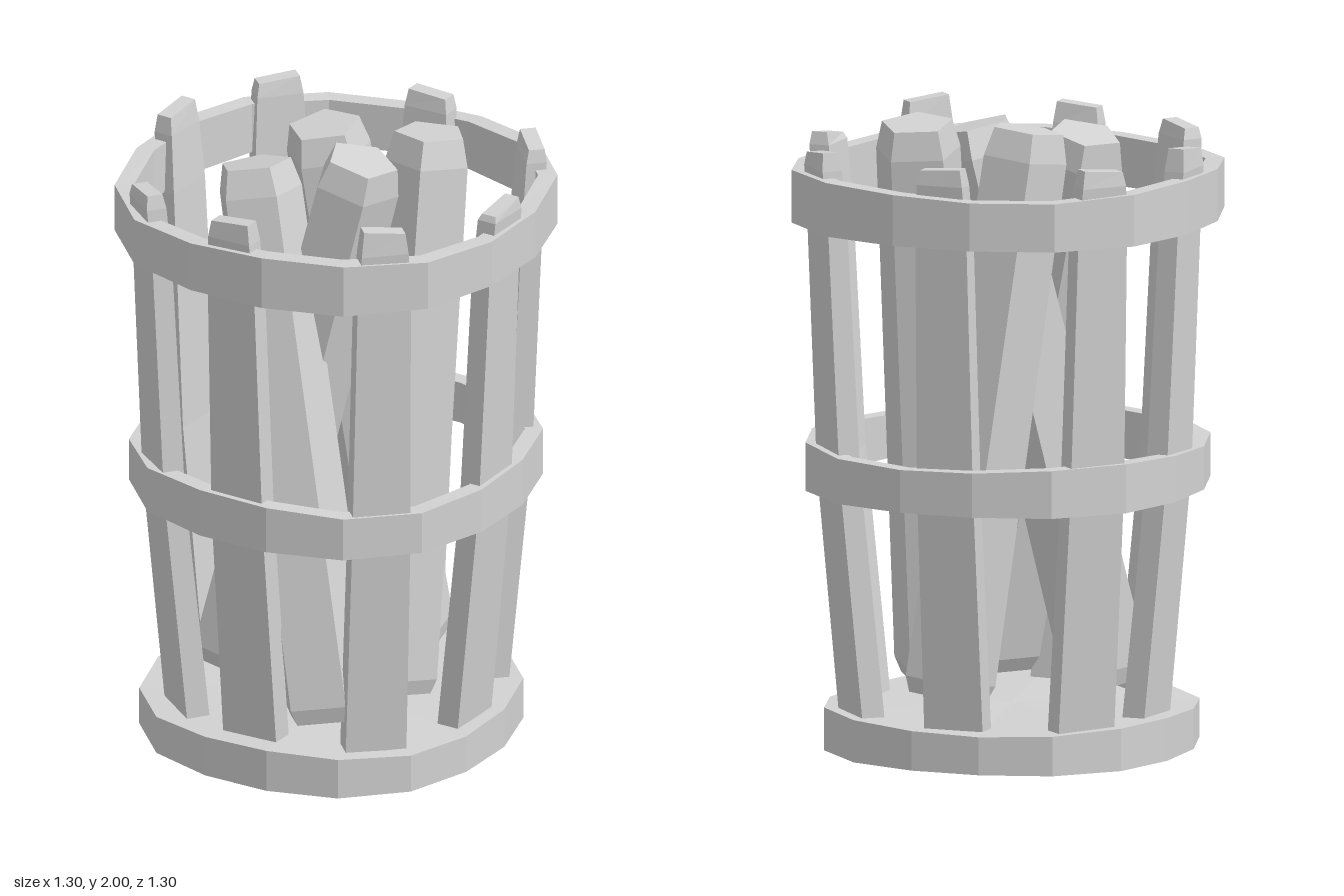
import * as THREE from 'three';

const wood = new THREE.MeshStandardMaterial({ color: 0xd2d2d2, flatShading: true });
wood.name = 'grey wood';
const SIDES = 16;

function add(group, geometry, name) {
  const mesh = new THREE.Mesh(geometry, wood);
  mesh.name = name;
  group.add(mesh);
  return mesh;
}

// Faceted band or disc, slightly squared in plan; the upper edge wavers for a hand-cut look
function turned(profile, wobble, phase) {
  const pts = profile.map(([r, y]) => new THREE.Vector2(r, y));
  const g = new THREE.LatheGeometry(pts, SIDES, Math.PI / SIDES);
  const p = g.attributes.position;
  const heights = profile.map(q => q[1]);
  const middle = (Math.min(...heights) + Math.max(...heights)) / 2;
  for (let i = 0; i < p.count; i++) {
    const x = p.getX(i), z = p.getZ(i);
    const a = Math.atan2(x, z);
    const swell = 1.02 - 0.028 * Math.cos(4 * a);
    const lift = p.getY(i) > middle && Math.hypot(x, z) > 0.01 ? wobble * Math.sin(3 * a + phase) : 0;
    p.setXYZ(i, x * swell, p.getY(i) + lift, z * swell);
  }
  g.computeVertexNormals();
  return g;
}

const hoop = (outer, inner, y0, y1, phase) => turned(
  [[inner, y0], [outer, y0], [outer, y1], [inner, y1], [inner, y0]], 0.01, phase);

// Stave rows: height, outer radius, inner radius, half width
const ROWS = [
  [0.13, 0.505, 0.43, 0.097],
  [0.9, 0.58, 0.51, 0.093],
  [1.68, 0.615, 0.55, 0.085],
  [1.87, 0.63, 0.565, 0.075],
  [1.93, 0.625, 0.575, 0.066],
];

// Tapered plank facing +z, leaning outward towards the top
function stave(lift, skew, shift) {
  const n = ROWS.length - 1;
  const g = new THREE.BoxGeometry(1, 1, 1, 1, n, 1);
  const p = g.attributes.position;
  for (let i = 0; i < p.count; i++) {
    const k = Math.round((p.getY(i) + 0.5) * n);
    const [y, outer, inner, half] = ROWS[k];
    const side = Math.sign(p.getX(i));
    const top = k === n ? lift + side * skew : 0;
    p.setXYZ(i, side * half, y + top, (p.getZ(i) > 0 ? outer : inner) + shift);
  }
  g.computeVertexNormals();
  return g;
}

// Five-sided log with chipped ends running between two points
function log(from, to, turn) {
  const a = new THREE.Vector3(...from);
  const axis = new THREE.Vector3(...to).sub(a);
  const h = axis.length();
  const profile = [[0, 0], [0.13, 0], [0.15, 0.05], [0.138, h - 0.09], [0.115, h], [0, h]];
  const g = new THREE.LatheGeometry(profile.map(q => new THREE.Vector2(...q)), 5, turn);
  g.applyQuaternion(new THREE.Quaternion().setFromUnitVectors(
    new THREE.Vector3(0, 1, 0), axis.normalize()));
  g.translate(a.x, a.y, a.z);
  return g;
}

export function createModel() {
  const model = new THREE.Group();
  model.name = 'log basket';

  // Floor disc and two hoops
  const base = add(model, turned([[0, 0.005], [0.575, 0.005], [0.575, 0.133], [0, 0.133]], 0.008, 1), 'base');
  base.position.set(-0.005, 0, 0.02);
  add(model, hoop(0.62, 0.565, 0.83, 0.975, 2), 'middleHoop');
  add(model, hoop(0.663, 0.605, 1.68, 1.84, 0.5), 'topHoop');

  // Eight upright staves: angle from the front, extra height, slant of the top, radial shift
  const staves = [
    [0, 0, 0.006, 0.005], [45, 0.015, -0.008, 0.04], [89, -0.03, 0.01, 0.008], [134, -0.01, 0.008, 0.025],
    [181, -0.01, 0.004, -0.022], [228.5, -0.01, -0.006, 0.035], [267, 0.005, -0.008, 0.005], [323, -0.02, 0.006, 0.03],
  ];
  for (const [deg, lift, skew, shift] of staves) {
    add(model, stave(lift, skew, shift), 'stave').rotation.y = THREE.MathUtils.degToRad(deg);
  }

  // Leaning logs inside
  const logs = [
    [[0.1, 0.2, -0.27], [-0.1, 1.97, -0.09], 1.15],
    [[0.25, 0.2, 0.06], [0.23, 1.985, -0.19], 0.35],
    [[-0.3, 0.2, 0.13], [0.12, 1.95, 0.04], -0.52],
    [[0.2, 0.2, 0.37], [-0.19, 1.92, 0.175], 1.0],
  ];
  for (const [from, to, turn] of logs) add(model, log(from, to, turn), 'log');

  return model;
}
